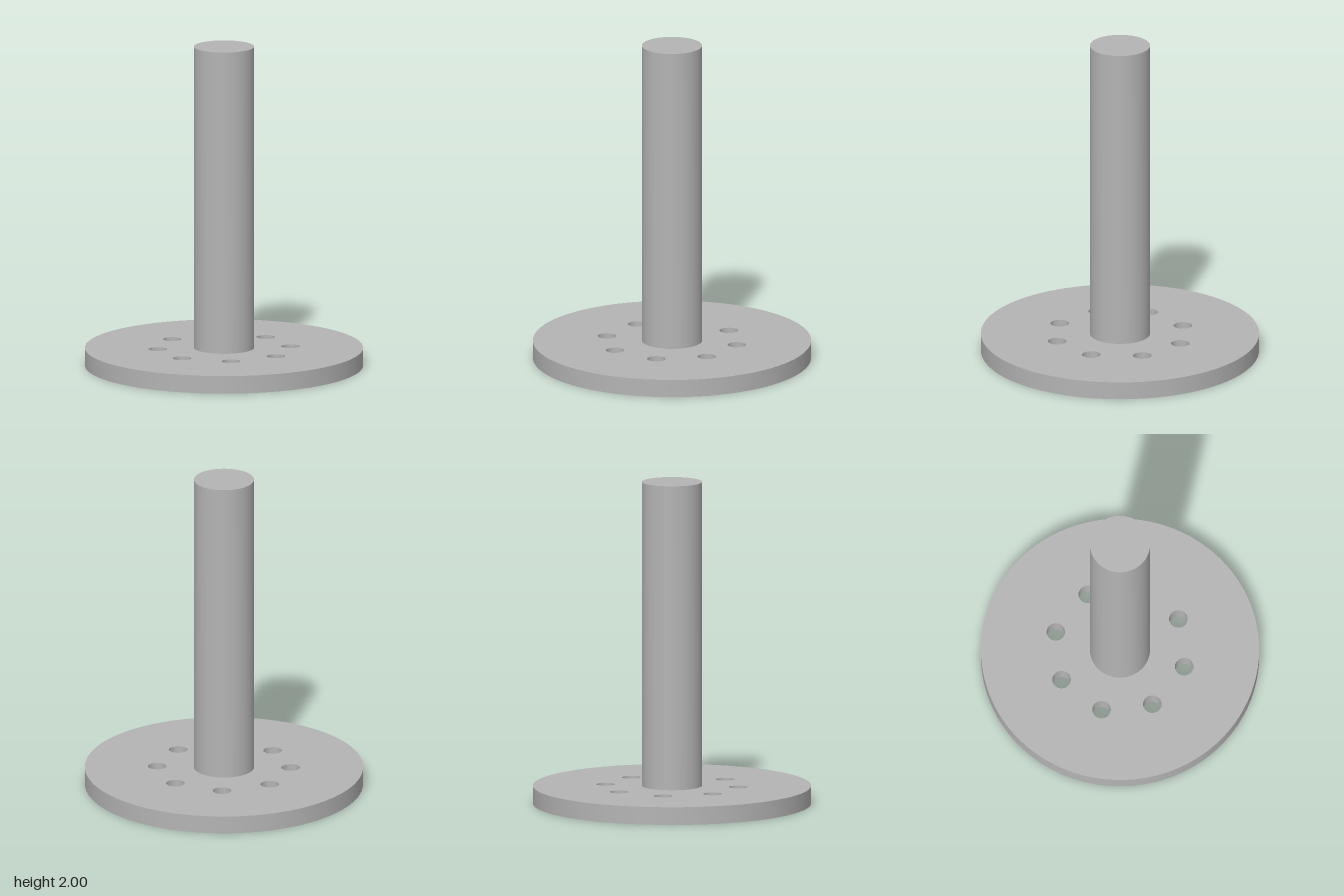
import * as THREE from 'three';
import { toCreasedNormals } from 'three/addons/utils/BufferGeometryUtils.js';

const SEGMENTS = 96;
const FLANGE_R = 0.855, FLANGE_H = 0.11;
const SHAFT_R = 0.185, SHAFT_TOP = 2;
const GROOVE_IN = 0.64, GROOVE_OUT = 0.705, GROOVE_DEPTH = 0.055;
const HOLE_R = 0.057, HOLE_RING = 0.41, HOLE_COUNT = 8;

const holeCentres = Array.from({ length: HOLE_COUNT }, (_, i) => {
  const a = (i / HOLE_COUNT) * Math.PI * 2;
  return [Math.cos(a) * HOLE_RING, Math.sin(a) * HOLE_RING];
});

// Turned surface with sharp corners
function turned(points, segments = SEGMENTS) {
  const profile = points.map(([r, y]) => new THREE.Vector2(r, y));
  return toCreasedNormals(new THREE.LatheGeometry(profile, segments), Math.PI / 6);
}

// Flat disc pierced by the bolt holes and, optionally, a central opening
function piercedDisc(radius, opening = 0) {
  const shape = new THREE.Shape().absarc(0, 0, radius, 0, Math.PI * 2, false);
  const cut = (x, y, r) => shape.holes.push(new THREE.Path().absarc(x, y, r, 0, Math.PI * 2, true));
  holeCentres.forEach(([x, y]) => cut(x, y, HOLE_R));
  if (opening) cut(0, 0, opening);
  return new THREE.ShapeGeometry(shape, SEGMENTS / 2);
}

export function createModel() {
  const model = new THREE.Group();
  model.name = 'flangedShaft';
  const steel = new THREE.MeshStandardMaterial({ color: 0xb4b4b4 });
  steel.name = 'steel grey';

  const add = (name, geometry) => {
    const mesh = new THREE.Mesh(geometry, steel);
    mesh.name = name;
    model.add(mesh);
    return mesh;
  };

  // Solid round shaft
  add('shaft', turned([[SHAFT_R, FLANGE_H], [SHAFT_R, SHAFT_TOP], [0, SHAFT_TOP]]));

  // Groove, outer underside and rim of the flange
  add('flangeRim', turned([
    [GROOVE_IN, 0], [GROOVE_IN, GROOVE_DEPTH], [GROOVE_OUT, GROOVE_DEPTH],
    [GROOVE_OUT, 0], [FLANGE_R, 0], [FLANGE_R, FLANGE_H],
  ]));

  // Upper and lower flange faces
  add('flangeTop', piercedDisc(FLANGE_R, SHAFT_R).rotateX(-Math.PI / 2).translate(0, FLANGE_H, 0));
  add('flangeUnderside', piercedDisc(GROOVE_IN).rotateX(Math.PI / 2));

  // Inward-facing walls of the bolt holes
  const wall = turned([[HOLE_R, FLANGE_H], [HOLE_R, 0]], SEGMENTS / 2);
  holeCentres.forEach(([x, z]) => add('boltHole', wall).position.set(x, 0, z));

  return model;
}
